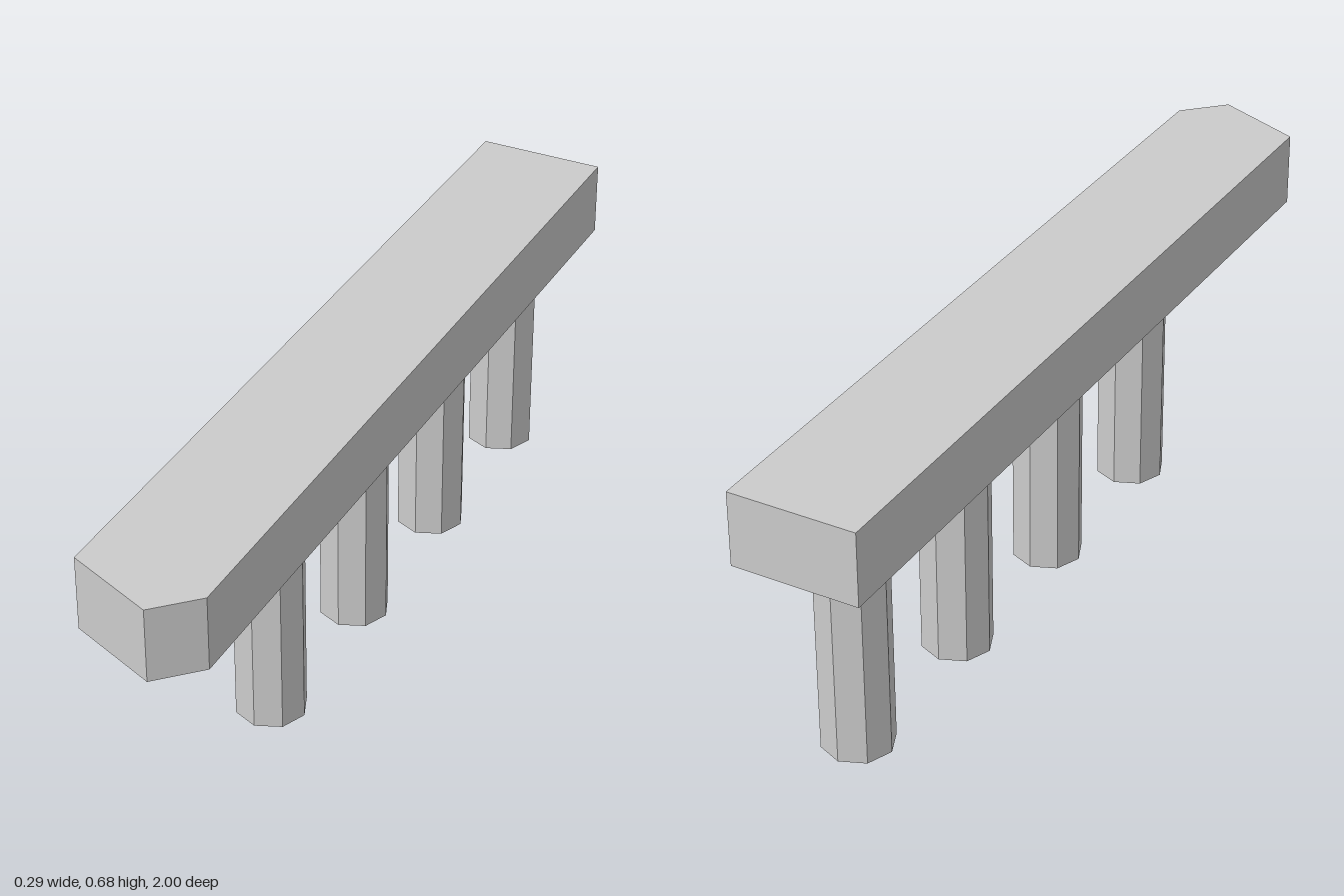
import * as THREE from 'three';

const BEAM_BOTTOM = 0.506;
const BEAM_HEIGHT = 0.171;

export function createModel() {
  const group = new THREE.Group();
  const material = new THREE.MeshStandardMaterial({ color: 0xcccccc, flatShading: true });
  const openMaterial = material.clone();
  openMaterial.side = THREE.DoubleSide;

  // Beam: plan outline as [x, z], with an off-centre point at the front
  const outline = [[-0.146, 0.913], [0.058, 1], [0.146, 0.913], [0.146, -1], [-0.146, -1]];
  const shape = new THREE.Shape(outline.map(([x, z]) => new THREE.Vector2(x, -z)));
  const beamGeometry = new THREE.ExtrudeGeometry(shape, { depth: BEAM_HEIGHT, bevelEnabled: false });
  beamGeometry.rotateX(-Math.PI / 2);
  const beam = new THREE.Mesh(beamGeometry, material);
  beam.name = 'beam';
  beam.position.y = BEAM_BOTTOM;
  group.add(beam);

  // Posts: a row of hollow eight-sided tubes, open at the foot
  const postGeometry = new THREE.CylinderGeometry(0.08, 0.08, BEAM_BOTTOM, 8, 1, true);
  [0.4, 0, -0.4, -0.8].forEach((z, i) => {
    const post = new THREE.Mesh(postGeometry, openMaterial);
    post.name = `post${i + 1}`;
    post.position.set(0, BEAM_BOTTOM / 2, z);
    group.add(post);
  });

  return group;
}
